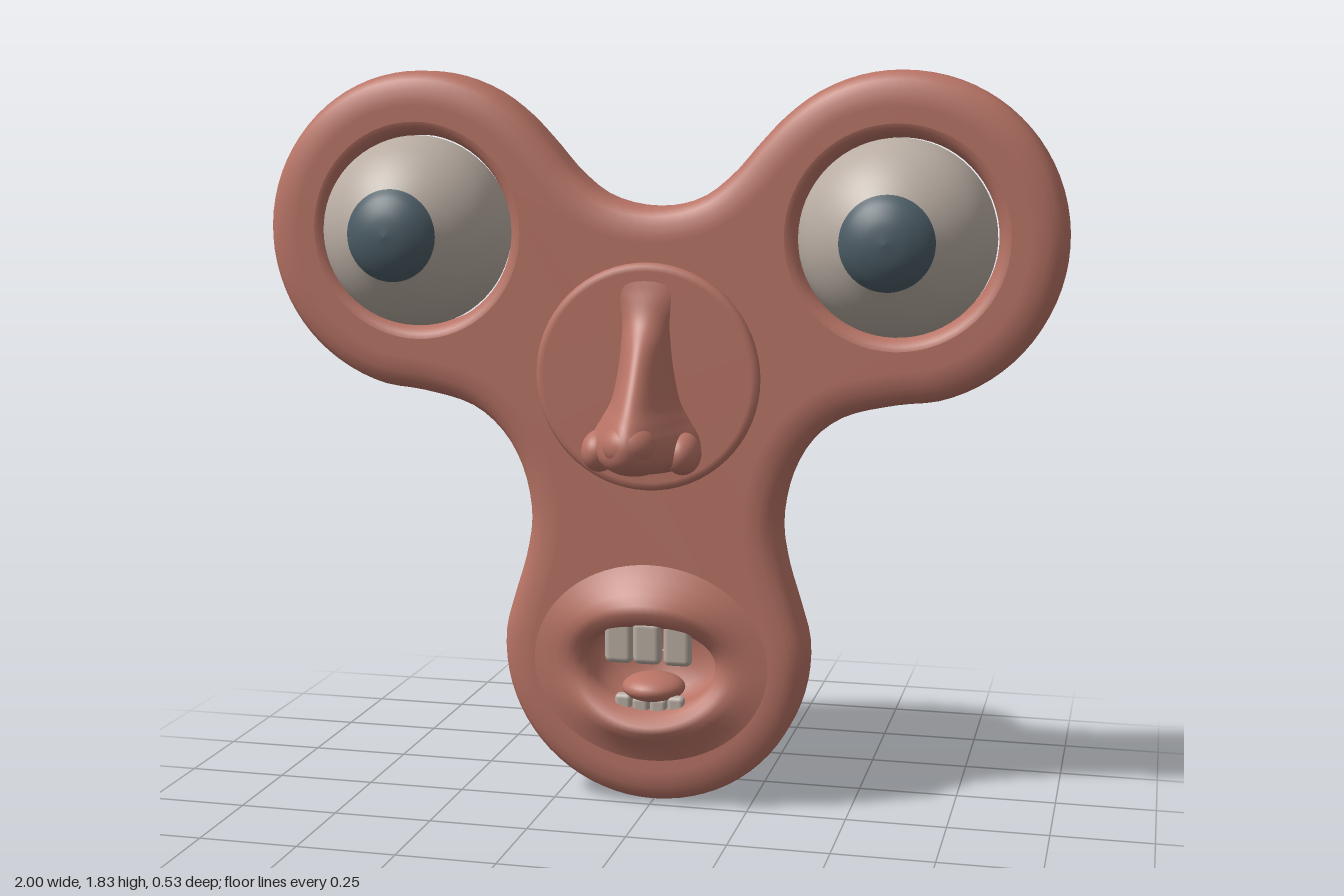
import * as THREE from 'three';
import { RoundedBoxGeometry } from 'three/addons/geometries/RoundedBoxGeometry.js';

const V3 = (x, y, z) => new THREE.Vector3(x, y, z);
const mat = (name, color) => Object.assign(new THREE.MeshStandardMaterial({ color }), { name });

// Skin stretched over a list of equally long rows of points
function skin(rows, closed = true) {
  const n = rows[0].length, idx = [];
  for (let j = 0; j < rows.length - 1; j++) {
    for (let i = 0; i < (closed ? n : n - 1); i++) {
      const k = (i + 1) % n, a = j * n + i, b = j * n + k;
      idx.push(a, b, a + n, b, b + n, a + n);
    }
  }
  const g = new THREE.BufferGeometry().setFromPoints(rows.flat());
  g.setIndex(idx);
  g.computeVertexNormals();
  return g;
}

// Clockwise loop with separate heights and depths for its top, bottom and sides
function loop(cx, cy, rx, up, down, zSide, zTop = zSide, zBot = zSide, n = 64) {
  return Array.from({ length: n }, (_, i) => {
    const a = -2 * Math.PI * i / n, s = Math.sin(a);
    const z = zSide + ((s > 0 ? zTop : zBot) - zSide) * s * s;
    return V3(cx + rx * Math.cos(a), cy + (s > 0 ? up : down) * s, z);
  });
}

// Turned profile of [radius, z] pairs, running from back to front
function turned(pts, smooth = true) {
  let p = pts.map(([r, z]) => new THREE.Vector2(r, z));
  if (smooth) p = new THREE.SplineCurve(p).getPoints(pts.length * 4);
  p.forEach(q => { q.x = Math.max(q.x, 0); });
  return new THREE.LatheGeometry(p, 64).rotateX(Math.PI / 2);
}

// Three-lobed outline, clockwise from the top valley
function outline() {
  const half = [[0.12, 1.535], [0.2, 1.595], [0.26, 1.663], [0.33, 1.735]];
  const arc = (cx, cy, r, from, to, step) => {
    for (let d = from; d >= to; d -= step) {
      const a = d * Math.PI / 180;
      half.push([cx + r * Math.cos(a), cy + r * Math.sin(a)]);
    }
  };
  arc(0.6, 1.44, 0.4, 118, -90, 16);
  half.push([0.47, 1.005], [0.39, 0.94], [0.34, 0.85], [0.318, 0.73], [0.332, 0.63], [0.365, 0.52]);
  arc(0, 0.395, 0.39, 5, -75, 16);
  const pts = [[0, 1.51], ...half, [0, 0.005], ...half.slice().reverse().map(([x, y]) => [-x, y])];
  return new THREE.CatmullRomCurve3(pts.map(([x, y]) => V3(x, y, 0)), true).getSpacedPoints(200).slice(0, 200);
}

export function createModel() {
  const group = new THREE.Group();
  const flesh = mat('flesh', 0xb97466);
  const white = mat('eyeWhite', 0xb9ada3);
  const irisMat = mat('iris', 0x4c5d66);
  const red = mat('red', 0x960c0c);
  const add = (name, geo, material, x = 0, y = 0, z = 0, parent = group) => {
    const m = new THREE.Mesh(geo, material);
    m.name = name;
    m.position.set(x, y, z);
    parent.add(m);
    return m;
  };

  // Body: rounded rim between a front face with openings and a closed back
  const T = 0.17, eyeX = 0.6, eyeY = 1.445, mouthY = 0.37;
  const edge = outline(), n = edge.length;
  const inset = (d, z) => edge.map((p, i) => {
    const t = edge[(i + 1) % n].clone().sub(edge[(i + n - 1) % n]).normalize();
    return V3(p.x + t.y * d, p.y - t.x * d, z);
  });
  const bevel = [[0.085, 0], [0.07, 0], [0.045, -0.004], [0.022, -0.013], [0.007, -0.028], [0, -0.05]];
  const back = bevel.slice().reverse().map(([d, z]) => [d, -T - z]);
  add('bodyRim', skin([...bevel, ...back].map(([d, z]) => inset(d, z))), flesh);
  const face = () => new THREE.Shape(inset(0.085, 0).map(p => new THREE.Vector2(p.x, p.y)));
  const front = face();
  for (const s of [-1, 1]) {
    front.holes.push(new THREE.Path(loop(s * eyeX, eyeY, 0.27, 0.27, 0.27, 0).map(p => new THREE.Vector2(p.x, p.y))));
  }
  front.holes.push(new THREE.Path(loop(0, mouthY, 0.28, 0.23, 0.23, 0).map(p => new THREE.Vector2(p.x, p.y))));
  add('bodyFront', new THREE.ShapeGeometry(front), flesh);
  add('bodyBack', new THREE.ShapeGeometry(face()).rotateY(Math.PI), flesh, 0, 0, -T);

  // Eyes: rounded socket, white ball with a bulging iris, red back
  const whiteGeo = turned([[0.22, -0.1], [0.235, -0.04], [0.235, 0], [0.224, 0.05], [0.2, 0.096], [0.16, 0.14], [0.112, 0.177]]);
  const irisGeo = turned([[0.112, 0.177], [0.09, 0.198], [0.05, 0.217], [0, 0.225]]);
  const redGeo = turned([[0, -0.265], [0.075, -0.252], [0.14, -0.22], [0.193, -0.17], [0.22, -0.1]]);
  for (const s of [-1, 1]) {
    const eye = new THREE.Group();
    eye.name = s > 0 ? 'leftEye' : 'rightEye';
    eye.position.set(s * eyeX, eyeY, 0);
    group.add(eye);
    const socket = [[0.236, -0.08], [0.239, -0.035], [0.246, -0.014], [0.258, -0.003], [0.27, 0]];
    add('socket', skin(socket.map(([r, z]) => loop(0, 0, r, r, r, z))), flesh, 0, 0, 0, eye);
    add('eyeball', whiteGeo, white, 0, 0, 0, eye);
    add('iris', irisGeo, irisMat, 0, 0, 0, eye);
    add('eyeBack', redGeo, red, 0, 0, 0, eye);
  }

  // Mouth: cavity rolling out into the lips [width, up, down, side z, top z, bottom z]
  const mouth = [
    [0.002, 0.002, 0.002, -0.15, -0.15, -0.15], [0.13, 0.1, 0.1, -0.145, -0.145, -0.145],
    [0.165, 0.125, 0.12, -0.1, -0.1, -0.1], [0.165, 0.115, 0.115, -0.04, -0.02, -0.03],
    [0.165, 0.105, 0.115, -0.015, 0.03, 0.005], [0.178, 0.12, 0.128, 0, 0.056, 0.038],
    [0.195, 0.145, 0.148, 0.008, 0.07, 0.059], [0.215, 0.165, 0.165, 0.011, 0.066, 0.06],
    [0.24, 0.19, 0.187, 0.01, 0.045, 0.042], [0.27, 0.22, 0.215, 0.005, 0.02, 0.016],
    [0.3, 0.255, 0.25, 0, 0, 0],
  ];
  add('lips', skin(mouth.map(r => loop(0, mouthY, ...r))), flesh);
  for (const i of [-1, 0, 1]) {
    add('upperTooth', new RoundedBoxGeometry(0.072, 0.11, 0.035, 4, 0.016), white, i * 0.075, 0.433 - Math.abs(i) * 0.003, 0.022 - Math.abs(i) * 0.01);
  }
  for (const i of [-1.5, -0.5, 0.5, 1.5]) {
    add('lowerTooth', new RoundedBoxGeometry(0.044, 0.045, 0.03, 3, 0.012), white, i * 0.045, 0.26 + Math.abs(i) * 0.006, -0.005);
  }
  add('tongue', new THREE.SphereGeometry(1, 32, 20).scale(0.08, 0.036, 0.08), flesh, 0, 0.302, -0.045);

  // Round plates floating in front of and behind the body
  const plate = turned([[0, 0], [0.26, 0], [0.272, 0.002], [0.28, 0.009], [0.28, 0.021], [0.272, 0.028], [0.26, 0.03], [0, 0.03]], false);
  add('frontPlate', plate, flesh, 0, 1.1, 0.01);
  add('backPlate', plate, flesh, 0, 1.1, -0.212);

  // Nose: horizontal sections [half width, height, depth] from the brow to under the tip
  const sections = [
    [0.1, 1.34, 0.004], [0.08, 1.3, 0.014], [0.065, 1.24, 0.035], [0.065, 1.18, 0.08],
    [0.075, 1.1, 0.135], [0.09, 1.04, 0.18], [0.112, 1.0, 0.213], [0.135, 0.96, 0.229],
    [0.14, 0.925, 0.222], [0.13, 0.9, 0.2], [0.11, 0.885, 0.165], [0.08, 0.875, 0.11], [0.04, 0.868, 0.05], [0.01, 0.866, 0.005],
  ];
  const rows = new THREE.CatmullRomCurve3(sections.map(s => V3(...s))).getPoints(110).map(s =>
    Array.from({ length: 49 }, (_, i) => {
      const a = Math.PI * i / 48;
      const x = s.x * Math.cos(a), z = 0.035 + s.z * Math.pow(Math.max(Math.sin(a), 0), 2.2);
      // hollow the nostrils
      const d2 = (Math.abs(x) - 0.045) ** 2 + (z - 0.13) ** 2;
      const lift = s.y < 0.905 ? 0.045 * Math.exp(-d2 / 0.0006) : 0;
      return V3(x, s.y + lift, z);
    }));
  add('nose', skin(rows, false), flesh);
  for (const s of [-1, 1]) {
    add('nostrilWing', new THREE.SphereGeometry(1, 28, 20).scale(0.044, 0.052, 0.062), flesh, s * 0.104, 0.925, 0.088);
  }
  add('noseTip', new THREE.SphereGeometry(1, 28, 20).scale(0.066, 0.056, 0.065), flesh, 0, 0.958, 0.198);

  return group;
}
